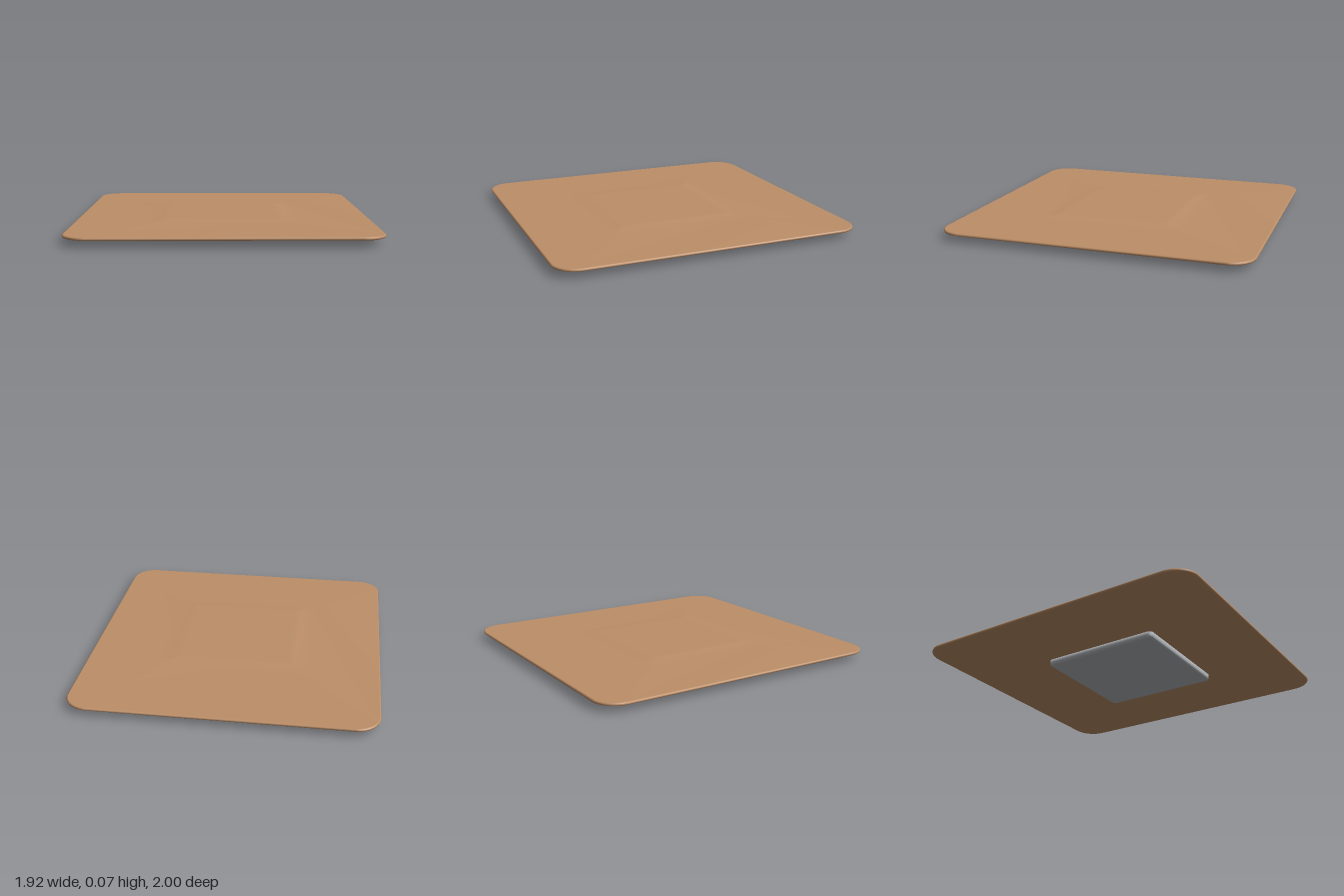
import * as THREE from 'three';

const STEPS = 8; // segments per rounded corner

// Rounded rectangle outline at height y, centred on (0, cz)
function outline({ hx, hz, r, y, cz = 0 }) {
  const points = [];
  [[1, 1], [-1, 1], [-1, -1], [1, -1]].forEach(([sx, sz], corner) => {
    for (let i = 0; i <= STEPS; i++) {
      const a = (corner + i / STEPS) * Math.PI / 2;
      points.push([sx * (hx - r) + r * Math.cos(a), y, cz + sz * (hz - r) + r * Math.sin(a)]);
    }
  });
  return points;
}

// Skin a stack of outlines from the underside, round the rim, to the top
function skin(sections, capBottom, capTop) {
  const loops = sections.map(outline);
  const n = loops[0].length;
  const positions = loops.flat(2);
  const index = [];
  for (let i = 0; i < loops.length - 1; i++) {
    for (let j = 0; j < n; j++) {
      const a = i * n + j, b = i * n + (j + 1) % n;
      index.push(a, a + n, b, b, a + n, b + n);
    }
  }
  const cap = (row, up) => {
    const s = sections[row];
    const centre = positions.length / 3;
    positions.push(0, s.y, s.cz || 0);
    for (let j = 0; j < n; j++) {
      const a = row * n + j, b = row * n + (j + 1) % n;
      index.push(centre, ...(up ? [b, a] : [a, b]));
    }
  };
  if (capBottom) cap(0, false);
  if (capTop) cap(loops.length - 1, true);
  const geometry = new THREE.BufferGeometry();
  geometry.setAttribute('position', new THREE.Float32BufferAttribute(positions, 3));
  geometry.setIndex(index);
  geometry.computeVertexNormals();
  return geometry;
}

export function createModel() {
  const group = new THREE.Group();
  const tan = new THREE.MeshStandardMaterial({ color: 0xbd8f68 });
  tan.name = 'tan';
  const grey = new THREE.MeshStandardMaterial({ color: 0xb0b4b8 });
  grey.name = 'grey';

  const add = (name, geometry, material) => {
    const mesh = new THREE.Mesh(geometry, material);
    mesh.name = name;
    group.add(mesh);
  };

  const cz = 0.035; // the raised middle and the pad sit slightly forward

  // Thin panel with a bullnose rim and a low raised middle
  add('panel', skin([
    { hx: 0.40, hz: 0.40, r: 0.03, y: 0.042, cz },
    { hx: 0.95, hz: 0.99, r: 0.14, y: 0.042 },
    { hx: 0.957, hz: 0.997, r: 0.147, y: 0.045 },
    { hx: 0.96, hz: 1, r: 0.15, y: 0.052 },
    { hx: 0.957, hz: 0.997, r: 0.147, y: 0.059 },
    { hx: 0.95, hz: 0.99, r: 0.14, y: 0.062 },
    { hx: 0.49, hz: 0.475, r: 0.05, y: 0.062, cz },
    { hx: 0.40, hz: 0.395, r: 0.03, y: 0.071, cz },
    { hx: 0.36, hz: 0.355, r: 0.02, y: 0.072, cz },
  ], true, true), tan);

  // Pad under the panel, with a rounded lower edge
  const radius = 0.02;
  const edge = [0, 1, 2, 3, 4].map((i) => {
    const a = (i / 4) * Math.PI / 2;
    const inset = radius * (1 - Math.sin(a));
    return { hx: 0.405 - inset, hz: 0.405 - inset, r: 0.03 - inset, y: radius * (1 - Math.cos(a)), cz };
  });
  add('basePad', skin([
    { hx: 0.375, hz: 0.375, r: 0.005, y: 0, cz },
    ...edge,
    { hx: 0.405, hz: 0.405, r: 0.03, y: 0.045, cz },
  ], true, true), grey);

  return group;
}
